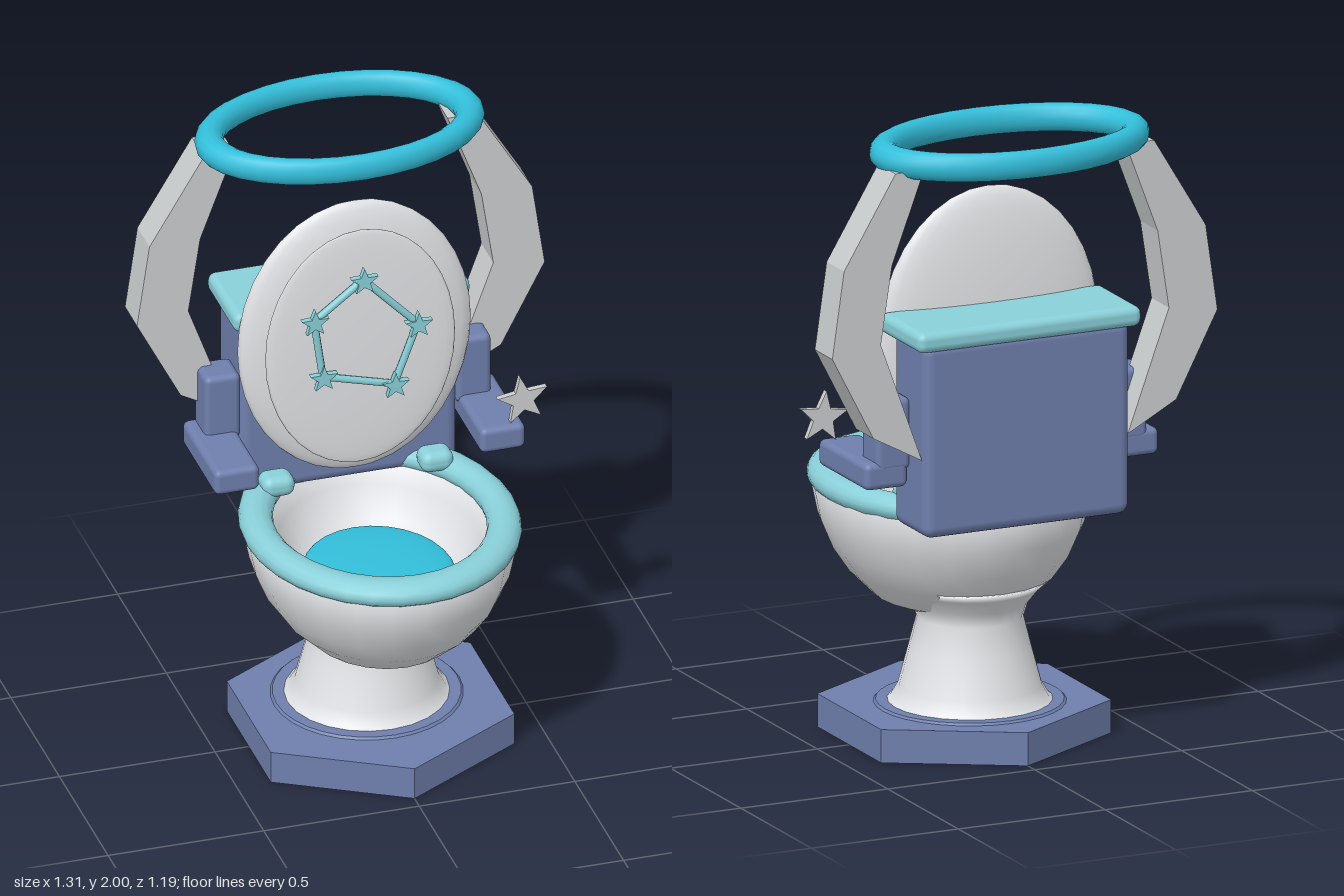
import * as THREE from 'three';
import { RoundedBoxGeometry } from 'three/addons/geometries/RoundedBoxGeometry.js';

const material = (name, color, extra = {}) => {
  const m = new THREE.MeshStandardMaterial({ color, ...extra });
  m.name = name;
  return m;
};

export function createModel() {
  const model = new THREE.Group();
  model.name = 'toilet';
  const porcelain = material('porcelain', 0xe2e4e7);
  const silver = material('silver', 0xcbcecf);
  const cyan = material('cyan', 0x33bfdb);
  const paleTeal = material('paleTeal', 0x8ad0d9);
  const slateBlue = material('slateBlue', 0x6f7fad);

  const add = (name, geometry, mat, x = 0, y = 0, z = 0) => {
    const mesh = new THREE.Mesh(geometry, mat);
    mesh.name = name;
    mesh.position.set(x, y, z);
    model.add(mesh);
    return mesh;
  };
  const box = (name, mat, size, pos, radius = 0.02) =>
    add(name, new RoundedBoxGeometry(...size, 3, radius), mat, ...pos);
  const lathe = (points, segments) =>
    new THREE.LatheGeometry(points.map(p => new THREE.Vector2(...p)), segments);
  const ellipsoid = (name, mat, radii, pos) => {
    const mesh = add(name, new THREE.SphereGeometry(1, 28, 18), mat, ...pos);
    mesh.scale.set(...radii);
    return mesh;
  };
  // Flat ring lying in the xz plane
  const ring = (name, mat, radius, tube, scale, pos) => {
    const g = new THREE.TorusGeometry(radius, tube, 14, 32).rotateX(Math.PI / 2);
    add(name, g, mat, ...pos).scale.set(...scale);
  };
  const star = (name, mat, radius, depth, pos, turn = 0) => {
    const shape = new THREE.Shape();
    for (let i = 0; i < 10; i++) {
      const a = Math.PI / 2 + turn + i * Math.PI / 5;
      const r = i % 2 ? radius * 0.42 : radius;
      shape[i ? 'lineTo' : 'moveTo'](r * Math.cos(a), r * Math.sin(a));
    }
    const g = new THREE.ExtrudeGeometry(shape, { depth, bevelEnabled: false });
    add(name, g.translate(0, 0, -depth / 2), mat, ...pos);
  };

  // Hexagonal base and pedestal
  const base = new THREE.CylinderGeometry(0.452, 0.452, 0.106, 6).toNonIndexed();
  base.computeVertexNormals();
  add('base', base, slateBlue, 0, 0.053, 0);
  add('baseRing', new THREE.CylinderGeometry(0.29, 0.3, 0.01, 32), slateBlue, 0, 0.108, -0.04);
  add('pedestal', lathe([[0.262, 0.108], [0.245, 0.12], [0.222, 0.16], [0.19, 0.28],
    [0.165, 0.38], [0.18, 0.425], [0.22, 0.475], [0.245, 0.5], [0.2, 0.5]], 24), porcelain, 0, 0, -0.04);

  // Bowl: outside, rim, then inside
  const bowl = add('bowl', lathe([[0, 0.38], [0.1, 0.382], [0.17, 0.392], [0.235, 0.42], [0.31, 0.495],
    [0.36, 0.57], [0.397, 0.66], [0.418, 0.765], [0.38, 0.79], [0.335, 0.785], [0.31, 0.71],
    [0.265, 0.62], [0.2, 0.55], [0, 0.5]], 24), porcelain, 0, 0, 0.095);
  bowl.scale.z = 1.17;
  ellipsoid('water', cyan, [0.232, 0.025, 0.27], [0, 0.61, 0.092]);
  ring('seat', paleTeal, 0.377, 0.053, [1, 0.8, 1.16], [0, 0.788, 0.095]);

  // Raised lid with its inset panel
  ellipsoid('lid', porcelain, [0.375, 0.474, 0.065], [0, 1.306, -0.17]);
  ellipsoid('lidPanel', porcelain, [0.305, 0.412, 0.018], [0, 1.298, -0.108]);

  // Pentagon of stars joined by rods
  const stars = [[0, 1.55], [-0.158, 1.428], [-0.13, 1.227], [0.1, 1.163], [0.175, 1.365]];
  stars.forEach(([x, y], i) => {
    star('lidStar', paleTeal, 0.046, 0.02, [x, y, -0.068]);
    const [nx, ny] = stars[(i + 1) % stars.length];
    const rod = add('lidRod', new THREE.CylinderGeometry(0.012, 0.012, Math.hypot(nx - x, ny - y), 8),
      paleTeal, (x + nx) / 2, (y + ny) / 2, -0.076);
    rod.rotation.z = Math.atan2(ny - y, nx - x) - Math.PI / 2;
  });

  // Tank
  box('tank', slateBlue, [0.7, 0.62, 0.235], [0, 1.07, -0.338], 0.035);
  box('tankLid', paleTeal, [0.76, 0.065, 0.296], [0, 1.392, -0.328], 0.025);

  // Mirrored hinges, armrests and curved supports
  const support = [[0.44, 1.935], [0.615, 1.645], [0.655, 1.37], [0.515, 1.1],
    [0.35, 1.01], [0.49, 1.395], [0.452, 1.645], [0.343, 1.935]];
  for (const side of [1, -1]) {
    box('hinge', paleTeal, [0.105, 0.07, 0.09], [side * 0.255, 0.828, -0.155], 0.03);
    box('armrest', slateBlue, [0.145, 0.085, 0.345], [side * 0.427, 0.948, -0.172]);
    box('armrestPost', slateBlue, [0.115, 0.23, 0.12], [side * 0.403, 1.075, -0.285]);
    const shape = new THREE.Shape(support.map(([x, y]) => new THREE.Vector2(side * x, y)));
    add('haloSupport', new THREE.ExtrudeGeometry(shape, { depth: 0.124, bevelEnabled: false }),
      silver, 0, 0, -0.43);
  }

  // Flush star on the left armrest, and the halo
  star('flushStar', silver, 0.084, 0.02, [0.497, 1.065, -0.03], 0.12);
  ring('halo', cyan, 0.412, 0.047, [1, 0.96, 0.61], [0, 1.955, -0.32]);

  return model;
}
